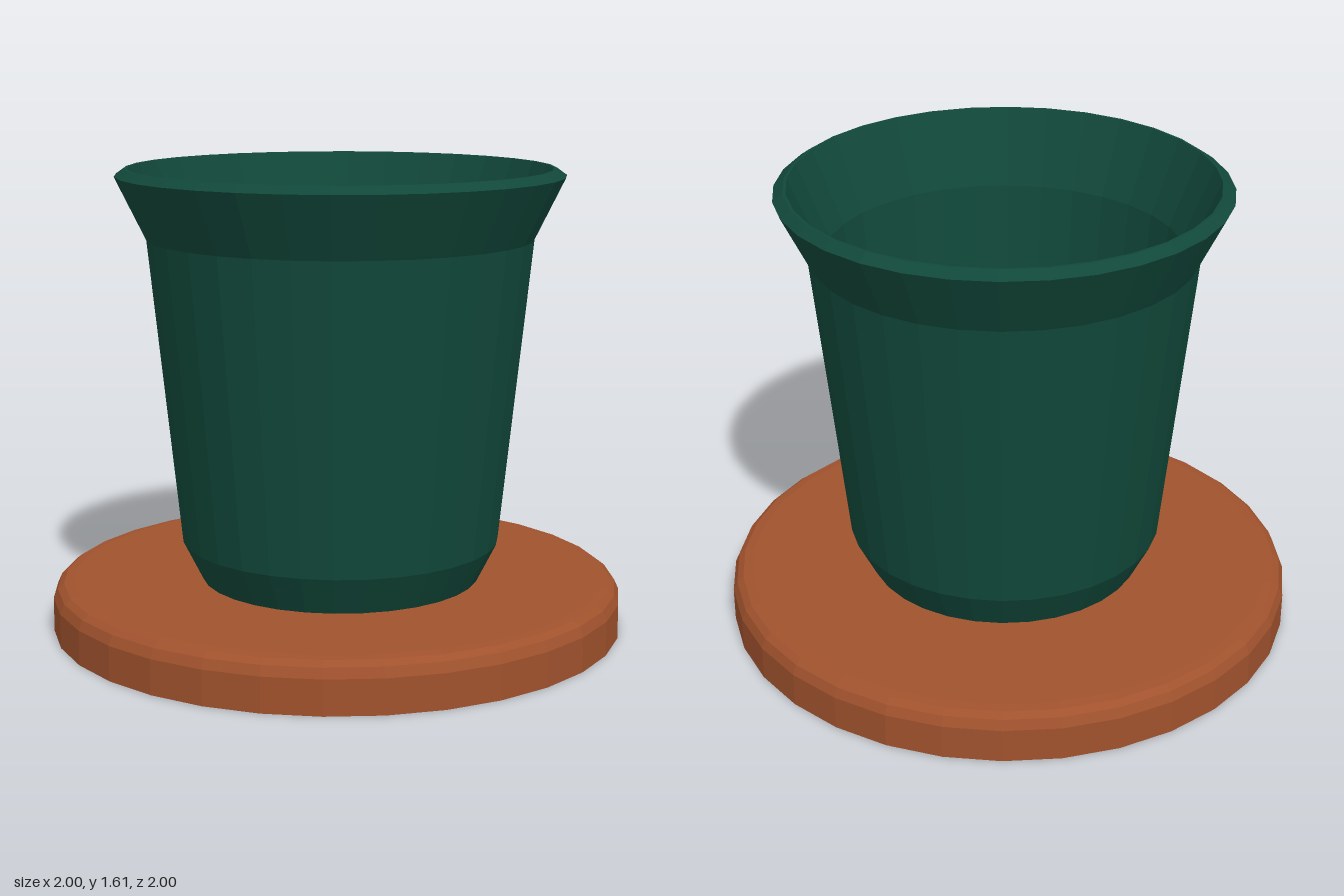
import * as THREE from 'three';

const SEGMENTS = 32;

// Revolve a list of [radius, height] pairs around the vertical axis
function turned(name, profile, color) {
  const points = profile.map(([r, y]) => new THREE.Vector2(r, y));
  const material = new THREE.MeshStandardMaterial({ color, flatShading: true, side: THREE.DoubleSide });
  const mesh = new THREE.Mesh(new THREE.LatheGeometry(points, SEGMENTS), material);
  mesh.name = name;
  return mesh;
}

export function createModel() {
  const model = new THREE.Group();
  model.name = 'pottedSaucer';

  // Saucer: thin shell, open underneath, with a rounded upper edge
  const saucer = turned('saucer', [
    [1, 0], [1, 0.12], [0.985, 0.153], [0.963, 0.17], [0.93, 0.175], [0, 0.175],
  ], 0xa0522d);

  // Pot: outer wall, flared lip, then the inner wall down to the floor
  const pot = turned('pot', [
    [0, 0.17], [0.485, 0.17], [0.555, 0.31], [0.665, 1.37], [0.77, 1.585], [0.735, 1.61],
    [0.725, 1.61], [0.615, 1.35], [0.505, 0.32], [0.46, 0.22], [0, 0.22],
  ], 0x11483a);
  pot.position.z = 0.025;

  model.add(saucer, pot);
  return model;
}
